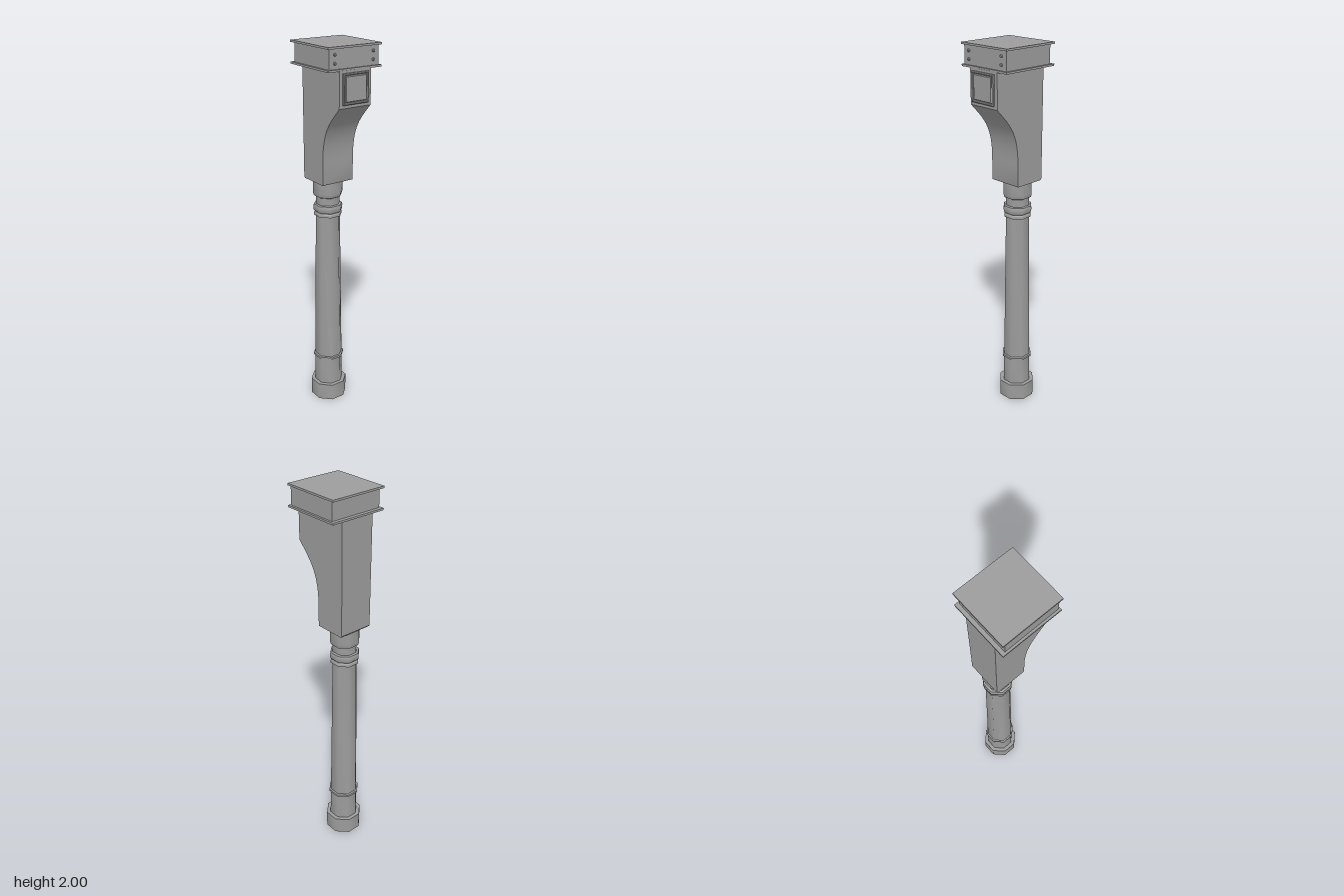
import * as THREE from 'three';
import { toCreasedNormals } from 'three/addons/utils/BufferGeometryUtils.js';

const COLUMN_Z = -0.076;
const material = new THREE.MeshStandardMaterial({ color: 0x9c9c9c });
const openMaterial = new THREE.MeshStandardMaterial({ color: 0x9c9c9c, side: THREE.DoubleSide });

function add(parent, name, geometry, x = 0, y = 0, z = 0, mat = material) {
  const mesh = new THREE.Mesh(geometry, mat);
  mesh.name = name;
  mesh.position.set(x, y, z);
  parent.add(mesh);
  return mesh;
}

// Eight-sided turned part with flats facing the axes; profile is [half width, y]
function octagonLathe(profile) {
  const k = 1 / Math.cos(Math.PI / 8);
  const points = profile.map(([r, y]) => new THREE.Vector2(r * k, y));
  return toCreasedNormals(new THREE.LatheGeometry(points, 8, Math.PI / 8), 0.8);
}

function square(half, Type = THREE.Shape) {
  const s = new Type();
  s.moveTo(-half, -half);
  s.lineTo(half, -half);
  s.lineTo(half, half);
  s.lineTo(-half, half);
  s.closePath();
  return s;
}

export function createModel() {
  const model = new THREE.Group();
  model.name = 'bracketedColumn';

  // Hollow base, open underneath
  add(model, 'columnBase', octagonLathe([
    [0.092, 0], [0.092, 0.095], [0.068, 0.095],
  ]), 0, 0, COLUMN_Z, openMaterial);

  // Tapered shaft with a lower ring and a moulded neck
  add(model, 'columnShaft', octagonLathe([
    [0.072, 0.095], [0.071, 0.252], [0.078, 0.254], [0.078, 0.266], [0.07, 0.269],
    [0.06, 1.103], [0.069, 1.105], [0.069, 1.118], [0.064, 1.125],
    [0.071, 1.134], [0.072, 1.152], [0.069, 1.165], [0.059, 1.168],
    [0.059, 1.208], [0.068, 1.213], [0.072, 1.228], [0.072, 1.302],
  ]), 0, 0, COLUMN_Z, openMaterial);

  // Bracket: side outline (z, y) extruded across x
  const outline = new THREE.Shape();
  outline.moveTo(-0.15, 1.3);
  outline.lineTo(0.013, 1.3);
  outline.lineTo(0.016, 1.308);
  outline.lineTo(0.016, 1.42);
  outline.bezierCurveTo(0.016, 1.59, 0.08, 1.635, 0.154, 1.713);
  outline.lineTo(0.154, 1.89);
  outline.lineTo(-0.156, 1.89);
  outline.lineTo(-0.156, 1.308);
  outline.closePath();
  const bracket = new THREE.ExtrudeGeometry(outline, { depth: 0.184, bevelEnabled: false, curveSegments: 14 });
  bracket.translate(0, 0, -0.092);
  bracket.rotateY(-Math.PI / 2);
  add(model, 'bracket', toCreasedNormals(bracket, 0.5));

  // Front panel: bevelled frame around a wide raised field
  const panel = new THREE.Group();
  panel.name = 'frontPanel';
  panel.position.set(0, 1.803, 0.154);
  model.add(panel);
  const frame = square(0.07);
  frame.holes.push(square(0.068, THREE.Path));
  add(panel, 'panelFrame', new THREE.ExtrudeGeometry(frame, {
    depth: 0.008, bevelThickness: 0.004, bevelSize: 0.004, bevelSegments: 1,
  }));
  add(panel, 'panelField', new THREE.ExtrudeGeometry(square(0.058), {
    depth: 0.006, bevelThickness: 0.004, bevelSize: 0.004, bevelSegments: 1,
  }));

  // Square cap: block between two thin plates
  add(model, 'capBlock', new THREE.BoxGeometry(0.284, 0.1, 0.29), 0, 1.942, -0.001);
  for (const [name, y] of [['lowerCapPlate', 1.892], ['upperCapPlate', 1.995]]) {
    add(model, name, new THREE.BoxGeometry(0.306, 0.01, 0.318), 0, y, -0.006);
  }

  // Bolts on the cap front
  for (const x of [-0.11, 0.11]) {
    for (const y of [1.924, 1.964]) {
      const bolt = new THREE.CylinderGeometry(0.005, 0.008, 0.008, 8);
      bolt.rotateX(Math.PI / 2);
      add(model, 'capBolt', toCreasedNormals(bolt, 0.9), x, y, 0.148);
    }
  }
  return model;
}
